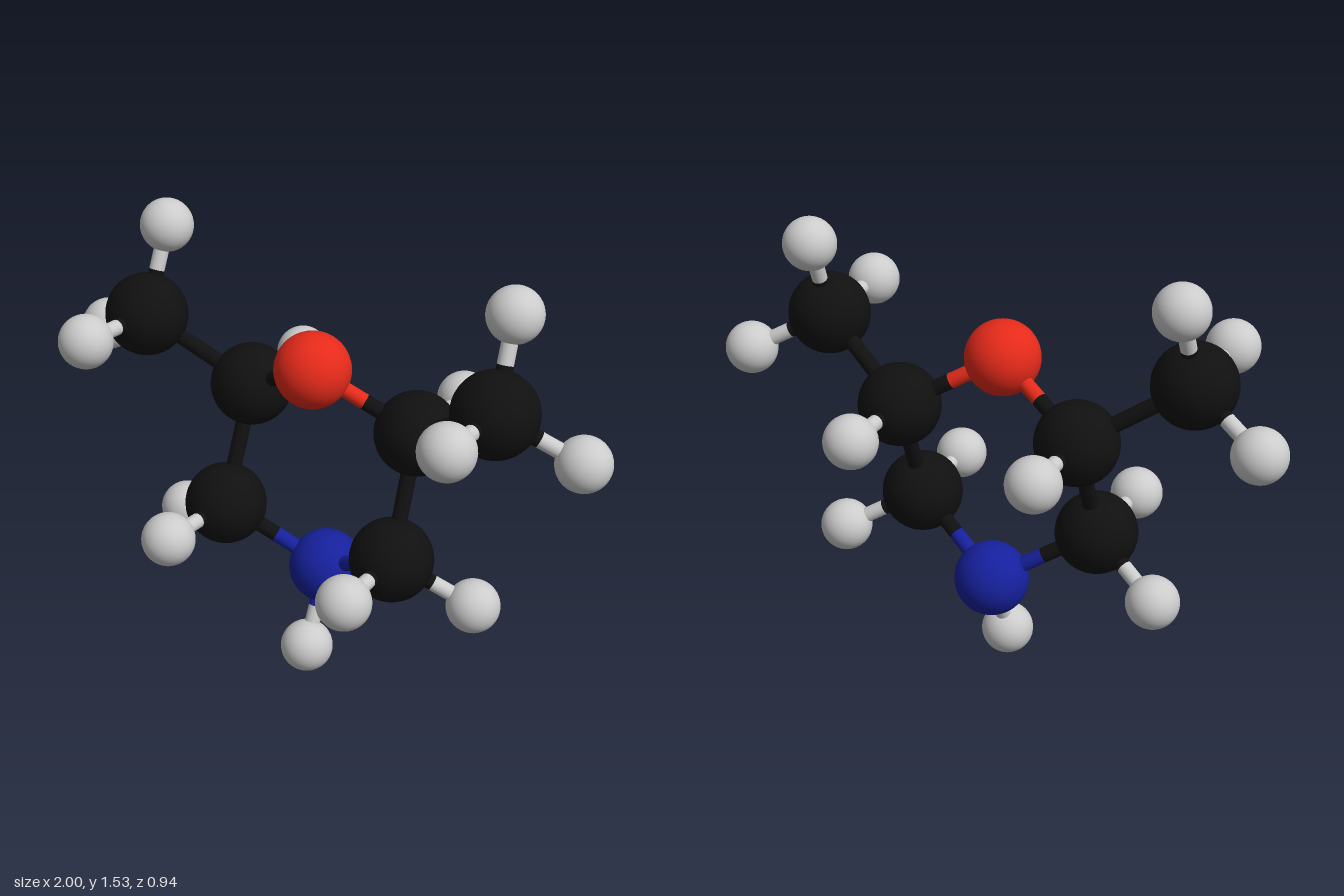
import * as THREE from 'three';

// Element look: sphere radius and colour
const ELEMENTS = {
  carbon: { radius: 0.138, color: 0x101010 },
  hydrogen: { radius: 0.089, color: 0xcccccc },
  oxygen: { radius: 0.125, color: 0xe52a1a },
  nitrogen: { radius: 0.126, color: 0x16209c },
};
const BOND_RADIUS = 0.026;

// Atoms on the mirror plane
const CENTRE = {
  oxygen: ['oxygen', 0, 1.13, 0.04],
  nitrogen: ['nitrogen', 0, 0.355, -0.04],
  amineHydrogen: ['hydrogen', 0, 0.095, 0.08],
};

// Atoms of one half, mirrored in x
const HALF = {
  upperCarbon: ['carbon', 0.32, 0.945, -0.075],
  upperHydrogen: ['hydrogen', 0.32, 0.94, -0.383],
  lowerCarbon: ['carbon', 0.328, 0.555, 0.078],
  lowerFrontHydrogen: ['hydrogen', 0.34, 0.563, 0.383],
  lowerOuterHydrogen: ['hydrogen', 0.577, 0.41, -0.025],
  methylCarbon: ['carbon', 0.656, 1.163, 0.047],
  methylTopHydrogen: ['hydrogen', 0.646, 1.443, -0.068],
  methylOuterHydrogen: ['hydrogen', 0.91, 1.025, -0.053],
  methylFrontHydrogen: ['hydrogen', 0.664, 1.18, 0.352],
};

const HALF_BONDS = [
  ['oxygen', 'upperCarbon'],
  ['upperCarbon', 'lowerCarbon'],
  ['lowerCarbon', 'nitrogen'],
  ['upperCarbon', 'methylCarbon'],
  ['upperCarbon', 'upperHydrogen'],
  ['lowerCarbon', 'lowerFrontHydrogen'],
  ['lowerCarbon', 'lowerOuterHydrogen'],
  ['methylCarbon', 'methylTopHydrogen'],
  ['methylCarbon', 'methylOuterHydrogen'],
  ['methylCarbon', 'methylFrontHydrogen'],
];

export function createModel() {
  const model = new THREE.Group();
  model.name = 'ballAndStickMolecule';

  const materials = {};
  const spheres = {};
  for (const [key, { radius, color }] of Object.entries(ELEMENTS)) {
    materials[key] = new THREE.MeshStandardMaterial({ color });
    spheres[key] = new THREE.SphereGeometry(radius, 40, 28);
  }

  const addAtom = (parent, name, [element, x, y, z], side = 1) => {
    const atom = new THREE.Mesh(spheres[element], materials[element]);
    atom.name = name;
    atom.position.set(side * x, y, z);
    parent.add(atom);
    return { element, position: atom.position };
  };

  // A bond is two rods meeting midway, each in its own atom's colour
  const addBond = (parent, name, a, b) => {
    const bond = new THREE.Group();
    bond.name = name;
    const middle = a.position.clone().lerp(b.position, 0.5);
    for (const { element, position } of [a, b]) {
      const direction = middle.clone().sub(position);
      const length = direction.length();
      const rod = new THREE.Mesh(
        new THREE.CylinderGeometry(BOND_RADIUS, BOND_RADIUS, length, 20, 1, true),
        materials[element]
      );
      rod.name = `${element}HalfBond`;
      rod.position.copy(position).lerp(middle, 0.5);
      rod.quaternion.setFromUnitVectors(new THREE.Vector3(0, 1, 0), direction.normalize());
      bond.add(rod);
    }
    parent.add(bond);
  };

  // Middle atoms
  const centre = {};
  for (const [name, data] of Object.entries(CENTRE)) {
    centre[name] = addAtom(model, `${name}Atom`, data);
  }
  addBond(model, 'amineBond', centre.nitrogen, centre.amineHydrogen);

  // Left and right halves
  for (const side of [1, -1]) {
    const half = new THREE.Group();
    half.name = side > 0 ? 'leftHalf' : 'rightHalf';
    const atoms = { ...centre };
    for (const [name, data] of Object.entries(HALF)) {
      atoms[name] = addAtom(half, `${name}Atom`, data, side);
    }
    for (const [from, to] of HALF_BONDS) {
      addBond(half, `${from}To${to[0].toUpperCase()}${to.slice(1)}Bond`, atoms[from], atoms[to]);
    }
    model.add(half);
  }

  return model;
}
